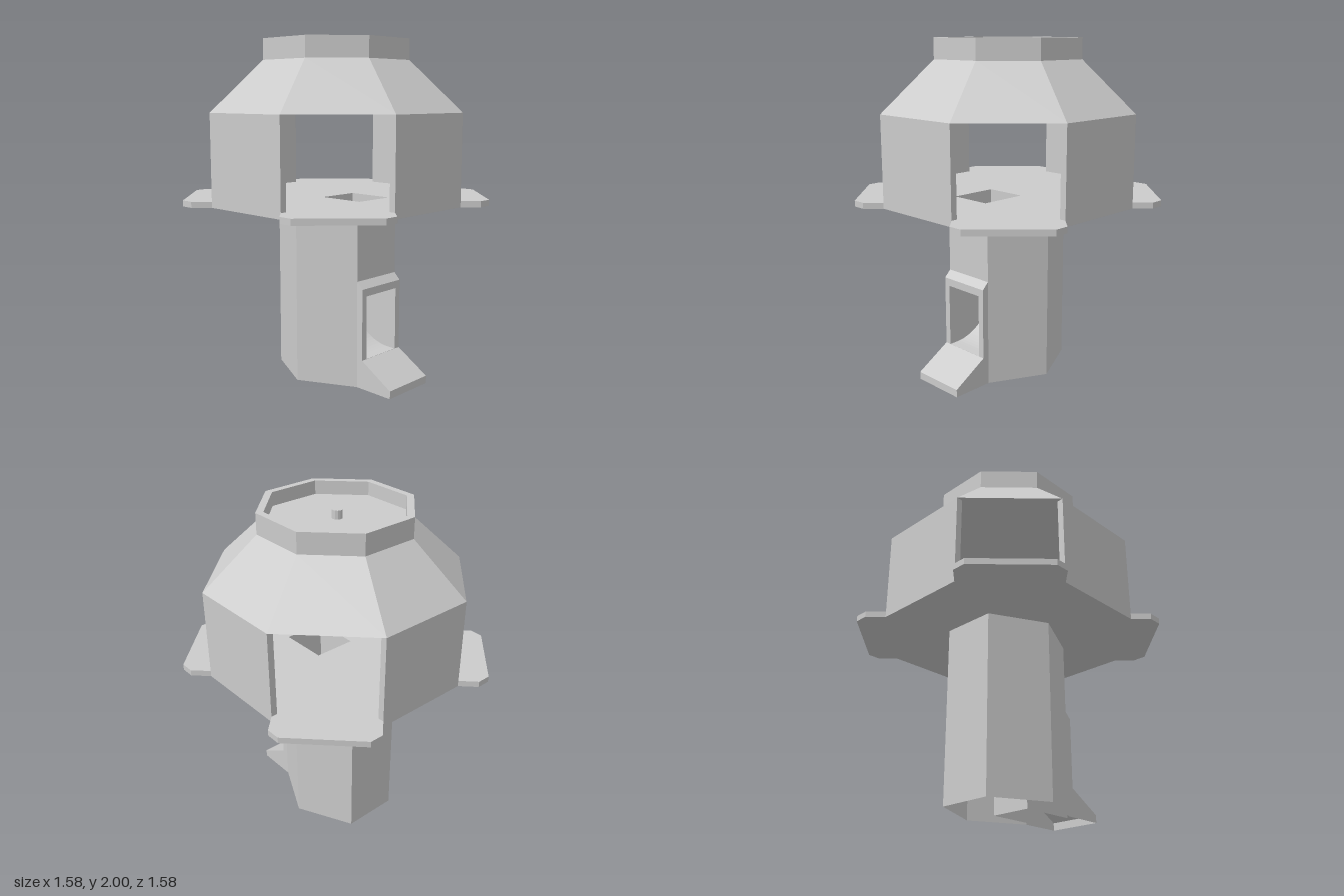
import * as THREE from 'three';

const solid = new THREE.MeshStandardMaterial({ color: 0xcccccc, flatShading: true });
const thin = new THREE.MeshStandardMaterial({ color: 0xcccccc, flatShading: true, side: THREE.DoubleSide });
const v2 = ([x, y]) => new THREE.Vector2(x, y);

const poly = (pts) => new THREE.Shape(pts.map(v2));
const rect = (x0, y0, x1, y1) => [[x0, y0], [x1, y0], [x1, y1], [x0, y1]];

// Thin sheet: an x-y outline swept across z from -w to w
function ribbon(pts, w) {
  const pos = [], index = [];
  pts.forEach(([x, y], i) => {
    pos.push(x, y, w, x, y, -w);
    const a = 2 * i;
    if (i < pts.length - 1) index.push(a, a + 1, a + 2, a + 1, a + 3, a + 2);
  });
  const g = new THREE.BufferGeometry();
  g.setAttribute('position', new THREE.Float32BufferAttribute(pos, 3));
  g.setIndex(index);
  g.computeVertexNormals();
  return g;
}

// Octagonal solid whose profile is given as [apothem, height]
function octagon(profile) {
  const k = 1 / Math.cos(Math.PI / 8);
  return new THREE.LatheGeometry(profile.map(([r, y]) => v2([r * k, y])), 8, Math.PI / 8);
}

export function createModel() {
  const model = new THREE.Group();
  const add = (name, geometry, material = solid) => {
    const mesh = new THREE.Mesh(geometry, material);
    mesh.name = name;
    model.add(mesh);
    return mesh;
  };

  const A = 0.707, C = 0.293;            // cabin apothem and half side
  const floorY = 1.05, deckY = 1.085, eaveY = 1.585;
  const W = 0.165, H = 0.128;            // doorway and chute half widths
  const back = 0.02, front = 0.31;       // chute shaft in x

  // Hexagonal pillar, open below; the side facing +x is built separately
  const pillar = new THREE.CylinderGeometry(0.33, 0.33, floorY, 5, 1, true, Math.PI * 2 / 3, Math.PI * 5 / 3);
  pillar.scale(1 / Math.cos(Math.PI / 6), 1, 1).translate(0, floorY / 2, 0);
  add('pillar', pillar, thin);
  add('pillarRightSide', ribbon([[0.33, 0.63], [0.33, floorY]], W), thin);

  // Doorway: side cheeks, bevelled hood, framed opening and sloping exit ramp
  const cheek = [[0.33, 0], [0.58, 0], [0.58, 0.045], [0.37, 0.17], [0.37, 0.59], [0.33, 0.63]];
  for (const s of [1, -1]) {
    add('doorwayCheek', new THREE.ShapeGeometry(poly(cheek)), thin).position.z = s * W;
  }
  add('doorwayHood', ribbon([[0.37, 0.59], [0.33, 0.63]], W), thin);
  add('exitRamp', ribbon([[0.58, 0], [0.58, 0.045], [0.37, 0.17]], W), thin);
  const frame = poly(rect(-W, 0.17, W, 0.59));
  frame.holes.push(poly(rect(-H, 0.171, H, 0.545)));
  const frameGeo = new THREE.ShapeGeometry(frame);
  frameGeo.rotateY(Math.PI / 2).translate(0.37, 0, 0);
  add('doorwayFrame', frameGeo, thin);

  // Square chute from the deck hatch down to the doorway
  const chuteSide = [[back, 0], [0.36, 0], [0.37, 0.17], [0.37, 0.545], [front, 0.545], [front, deckY], [back, deckY]];
  for (const s of [1, -1]) {
    add('chuteSide', new THREE.ShapeGeometry(poly(chuteSide)), thin).position.z = s * H;
  }
  add('chuteBack', ribbon([[back, 0], [back, deckY]], H), thin);
  add('chuteFront', ribbon([[0.37, 0.545], [front, 0.545], [front, deckY]], H), thin);
  const curve = [];
  for (let i = 0; i <= 20; i++) {
    const a = (i / 20) * Math.PI / 2;
    curve.push([0.32 - 0.3 * Math.cos(a), 0.47 - 0.3 * Math.sin(a)]);
  }
  add('slideCurve', ribbon([...curve, [0.37, 0.17]], H), thin);

  // Deck with a balcony on each diagonal and a hatch over the chute
  const corner = [[A, C], [0.79, 0.375], [0.79, 0.457], [0.457, 0.79], [0.375, 0.79], [C, A]];
  const outline = [];
  for (let i = 0; i < 4; i++) {
    for (const p of corner) {
      const q = v2(p).rotateAround(new THREE.Vector2(), i * Math.PI / 2);
      outline.push([q.x, q.y]);
    }
  }
  const deck = poly(outline);
  deck.holes.push(poly(rect(back, -H, front, H)));
  const deckGeo = new THREE.ExtrudeGeometry(deck, { depth: deckY - floorY, bevelEnabled: false });
  deckGeo.rotateX(-Math.PI / 2).translate(0, floorY, 0);
  add('deck', deckGeo);

  // Four cabin walls, leaving the diagonals open
  for (let i = 0; i < 4; i++) {
    const wall = new THREE.BoxGeometry(2 * C, eaveY - floorY, 0.037);
    wall.translate(0, (eaveY + floorY) / 2, A - 0.0185).rotateY(i * Math.PI / 2);
    add('cabinWall', wall);
  }

  // Sloping roof with flat ceiling, raised rim and centre peg
  add('roof', octagon([[0, eaveY], [A, eaveY], [0.415, 1.88]]));
  add('roofRim', octagon([[0.415, 1.88], [0.415, 2], [0.375, 2], [0.375, 1.92], [0, 1.92]]));
  add('roofPeg', new THREE.CylinderGeometry(0.03, 0.03, 0.05, 12)).position.y = 1.945;

  return model;
}
